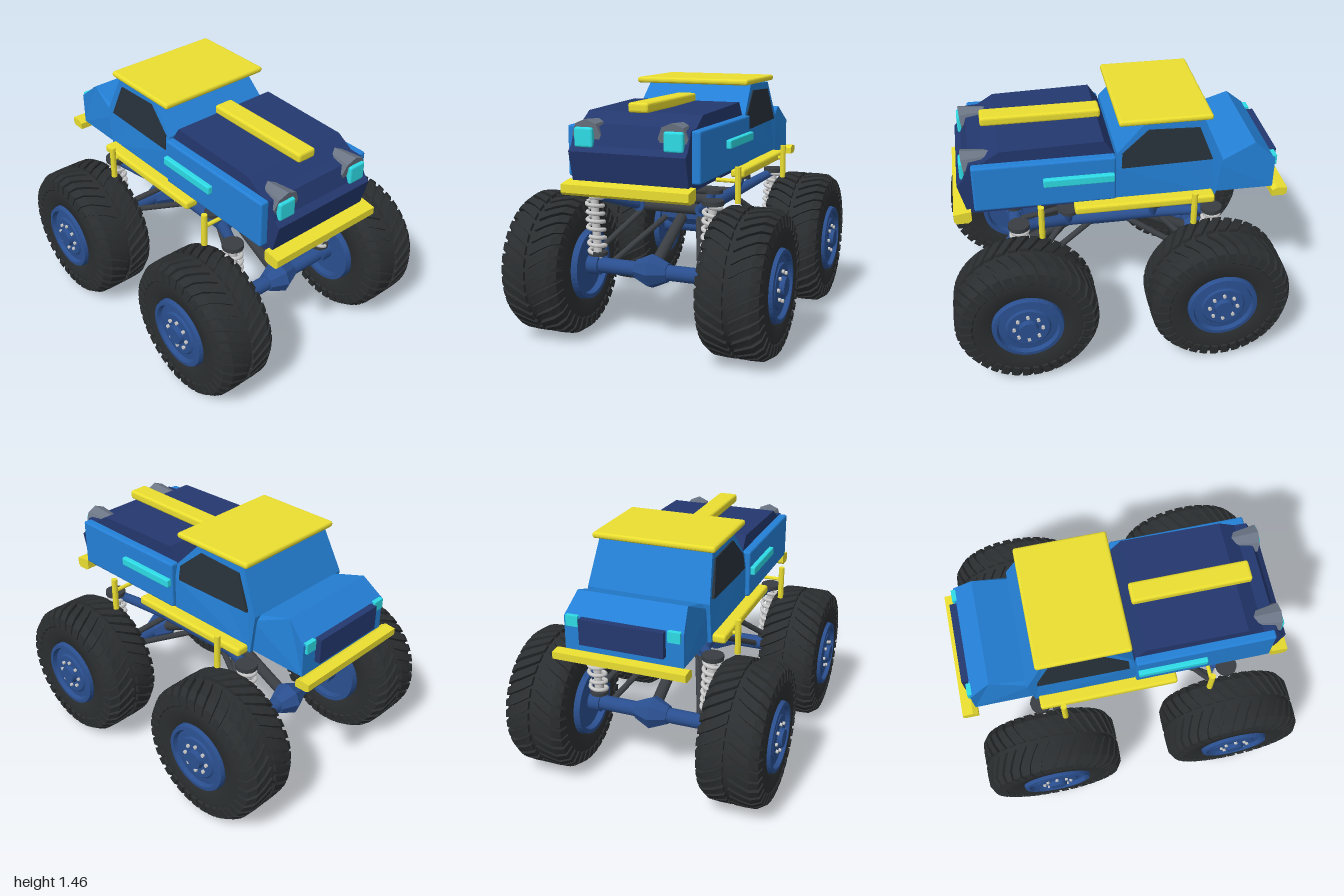
import * as THREE from 'three';
import { mergeGeometries } from 'three/addons/utils/BufferGeometryUtils.js';
import { RoundedBoxGeometry } from 'three/addons/geometries/RoundedBoxGeometry.js';

const mat = (color, flatShading = false) =>
  new THREE.MeshStandardMaterial({ color, flatShading });
const BLUE = mat(0x2480d6, true), NAVY = mat(0x24386f, true), STEEL = mat(0x2a4f8f), YELLOW = mat(0xeade30, true);
const CYAN = mat(0x2edbe6, true), RUBBER = mat(0x2b2e30), LUG = mat(0x2b2e30, true), GLASS = mat(0x27313a, true);
const POD = mat(0x6b7585, true), DARK = mat(0x3a3e42), LIGHT = mat(0xcccccc);
const V = (x, y, z) => new THREE.Vector3(x, y, z);

export function createModel() {
  const model = new THREE.Group();
  const add = (name, geo, material, parent = model) => {
    const m = new THREE.Mesh(geo, material);
    m.name = name;
    parent.add(m);
    return m;
  };
  // Box given by its limits on each axis
  const box = (name, x0, x1, y0, y1, z0, z1, material, r = 0) => {
    const s = [x1 - x0, y1 - y0, z1 - z0];
    const g = r ? new RoundedBoxGeometry(...s, 2, r) : new THREE.BoxGeometry(...s);
    return add(name, g.translate((x0 + x1) / 2, (y0 + y1) / 2, (z0 + z1) / 2), material);
  };
  // Side profile extruded across the width; half(x, y) gives the half width
  const profile = (name, pts, half, material) => {
    const g = new THREE.ExtrudeGeometry(new THREE.Shape(pts.map(p => new THREE.Vector2(...p))),
      { depth: 2, bevelEnabled: false }).translate(0, 0, -1);
    const p = g.attributes.position;
    for (let i = 0; i < p.count; i++) p.setZ(i, p.getZ(i) * half(p.getX(i), p.getY(i)));
    g.computeVertexNormals();
    return add(name, g, material);
  };
  const rod = (name, a, b, r, material, r2 = r, sides = 16) => {
    const m = add(name, new THREE.CylinderGeometry(r2, r, a.distanceTo(b), sides), material);
    m.position.copy(a).lerp(b, 0.5);
    m.quaternion.setFromUnitVectors(V(0, 1, 0), b.clone().sub(a).normalize());
    return m;
  };

  // Body shell
  profile('rearBed', [[-0.92, 0.95], [-0.55, 0.95], [-0.57, 1.14], [-0.6, 1.18], [-0.8, 1.245], [-0.92, 1.14]],
    (x, y) => (y > 1.15 ? 0.315 : 0.34), BLUE);
  const cabHalf = (x, y) => (y > 1.17 ? 0.362 - (y - 1.17) * 0.11 : 0.362);
  profile('cab', [[-0.57, 0.945], [0.02, 0.945], [0.02, 1.18], [0.01, 1.27], [-0.15, 1.44], [-0.49, 1.43],
    [-0.6, 1.18]], cabHalf, BLUE);
  profile('sideWindows', [[-0.54, 1.19], [-0.015, 1.18], [-0.02, 1.27], [-0.17, 1.4], [-0.46, 1.39]],
    (x, y) => cabHalf(x, y) + 0.006, GLASS);
  profile('hood', [[0.01, 0.955], [0.82, 0.95], [0.86, 0.965], [0.905, 1.14], [0.87, 1.17], [0.83, 1.27],
    [0.755, 1.275], [0.66, 1.335], [0.08, 1.35], [0.02, 1.26]], () => 0.338, NAVY);
  box('roofPanel', -0.53, 0, 1.44, 1.475, -0.36, 0.36, YELLOW, 0.015);
  box('hoodBar', 0.06, 0.75, 1.34, 1.395, -0.06, 0.06, YELLOW, 0.015);
  box('tailPanel', -0.955, -0.91, 1.0, 1.145, -0.24, 0.24, NAVY);

  // Bumpers
  profile('frontBumper', [[0.84, 0.92], [0.86, 0.905], [0.925, 0.905], [0.94, 0.92], [0.94, 0.965], [0.88, 0.975],
    [0.84, 0.98]], () => 0.37, YELLOW);
  profile('rearBumper', [[-1, 0.915], [-0.98, 0.905], [-0.91, 0.905], [-0.91, 0.945], [-0.94, 0.96], [-1, 0.955]],
    () => 0.38, YELLOW);

  // Parts on each side of the body
  for (const s of [1, -1]) {
    const sideBox = (name, x0, x1, y0, y1, z0, z1, m, r) =>
      box(name, x0, x1, y0, y1, Math.min(s * z0, s * z1), Math.max(s * z0, s * z1), m, r);
    sideBox('fender', 0.02, 0.82, 0.99, 1.27, 0.33, 0.387, BLUE, 0.012);
    sideBox('sideStrip', 0.03, 0.43, 1.125, 1.175, 0.38, 0.415, CYAN, 0.008);
    sideBox('sideStep', -0.55, 0.26, 0.935, 0.985, 0.35, 0.435, YELLOW, 0.015);
    sideBox('headlight', 0.845, 0.885, 1.16, 1.268, 0.205, 0.315, CYAN, 0.012);
    sideBox('tailLight', -0.935, -0.9, 1.09, 1.15, 0.255, 0.325, CYAN);
    rod('headlightPod', V(0.69, 1.255, s * 0.25), V(0.86, 1.228, s * 0.25), 0.045, POD, 0.085, 8);
    for (const x of [-0.42, 0.455]) {
      rod('sidePost', V(x, 0.83, s * 0.465), V(x, 1.035, s * 0.465), 0.018, YELLOW, 0.018, 10);
      rod('postBracket', V(x, 0.955, s * 0.33), V(x, 0.955, s * 0.465), 0.012, YELLOW, 0.012, 8);
    }
  }

  // Chassis
  profile('gearbox', [[-0.11, 0.64], [-0.08, 0.6], [0.12, 0.6], [0.15, 0.64], [0.15, 0.7], [-0.11, 0.7]],
    (x, y) => (y < 0.62 ? 0.08 : 0.13), mat(0x2a4f8f, true));
  for (const x of [-0.25, 0.02, 0.3])
    rod('crossBar', V(x, 0.74, -0.2), V(x, 0.74, 0.2), 0.032, DARK);
  for (const s of [1, -1]) {
    rod('frameRail', V(-0.3, 0.745, s * 0.2), V(0.34, 0.745, s * 0.2), 0.038, STEEL);
    for (const x of [-0.23, 0.28]) {
      rod('bodyMount', V(x, 0.75, s * 0.215), V(x, 0.85, s * 0.25), 0.025, STEEL);
      rod('mountCap', V(x, 0.84, s * 0.26), V(x, 0.862, s * 0.26), 0.05, DARK);
    }
  }

  // Tire carcass
  const tireProfile = [[0.2, -0.14], [0.215, -0.172], [0.3, -0.178], [0.365, -0.168], [0.388, -0.13], [0.394, -0.06],
    [0.394, 0.06], [0.388, 0.13], [0.365, 0.168], [0.3, 0.178], [0.215, 0.172], [0.2, 0.14]];
  const tireGeo = new THREE.LatheGeometry(tireProfile.map(p => new THREE.Vector2(...p)), 72).rotateX(Math.PI / 2);
  // Slanted tread lugs wrapping over the shoulder
  const path = [[0.014, 0.415], [0.07, 0.415], [0.13, 0.412], [0.175, 0.382], [0.184, 0.32]];
  const lugs = [], COUNT = 36;
  for (const s of [1, -1]) for (let k = 0; k < COUNT; k++) {
    const g = new THREE.BoxGeometry(1, 1, 1, 4, 1, 1), p = g.attributes.position;
    for (let i = 0; i < p.count; i++) {
      const j = Math.round((p.getX(i) + 0.5) * 4), inner = p.getY(i) < 0;
      const w = path[j][0] - (inner ? 0.0075 * j : 0), r = path[j][1] - (inner ? 0.03 : 0);
      const a = (k / COUNT) * Math.PI * 2 + 0.26 * Math.pow(path[j][0] / 0.18, 0.8) + s * p.getZ(i) * 0.115;
      p.setXYZ(i, r * Math.cos(a), r * Math.sin(a), s * w);
    }
    lugs.push(g);
  }
  const lugGeo = mergeGeometries(lugs);
  lugGeo.computeVertexNormals();
  // Rim, hub and bolts
  const rimProfile = [[0, -0.165], [0.17, -0.165], [0.175, -0.203], [0.2, -0.203], [0.206, -0.17], [0.206, 0.17],
    [0.2, 0.19], [0.178, 0.192], [0.168, 0.168], [0.13, 0.172], [0.12, 0.182], [0, 0.182]];
  const rimGeo = new THREE.LatheGeometry(rimProfile.map(p => new THREE.Vector2(...p)), 40).rotateX(Math.PI / 2);
  const hubGeo = new THREE.CylinderGeometry(0.052, 0.064, 0.06, 24).rotateX(Math.PI / 2).translate(0, 0, 0.18);
  const boltGeo = mergeGeometries(Array.from({ length: 8 }, (_, i) => {
    const a = (i / 8) * Math.PI * 2;
    return new THREE.CylinderGeometry(0.011, 0.011, 0.03, 6).rotateX(Math.PI / 2)
      .translate(0.082 * Math.cos(a), 0.082 * Math.sin(a), 0.18);
  }));

  // Coil spring
  class Helix extends THREE.Curve {
    getPoint(t, out = new THREE.Vector3()) {
      const a = t * Math.PI * 2 * 7;
      return out.set(0.048 * Math.cos(a), 0.33 * t, 0.048 * Math.sin(a));
    }
  }
  const springGeo = new THREE.TubeGeometry(new Helix(), 140, 0.012, 7);

  // Axles with wheels and suspension
  for (const [axleX, d] of [[-0.55, -1], [0.58, 1]]) {
    const y = 0.425;
    rod('axle', V(axleX, y, -0.4), V(axleX, y, 0.4), 0.045, STEEL);
    rod('differentialFront', V(axleX, y, -0.1), V(axleX, y, 0), 0.055, mat(0x2a4f8f, true), 0.1, 8);
    rod('differentialBack', V(axleX, y, 0), V(axleX, y, 0.1), 0.1, mat(0x2a4f8f, true), 0.055, 8);
    rod('driveShaft', V(0.02 + d * 0.1, 0.66, 0), V(axleX - d * 0.03, y + 0.02, 0), 0.034, DARK);
    for (const s of [1, -1]) {
      rod('axleEnd', V(axleX, y, s * 0.33), V(axleX, y, s * 0.4), 0.058, STEEL);
      rod('shockArm', V(0.02 + d * 0.27, 0.74, s * 0.195), V(axleX, 0.84, s * 0.36), 0.036, STEEL, 0.026);
      rod('upperLink', V(0.02 + d * 0.27, 0.73, s * 0.17), V(axleX - d * 0.02, 0.49, s * 0.37), 0.018, DARK);
      rod('lowerLink', V(0.02 + d * 0.1, 0.65, s * 0.1), V(axleX - d * 0.03, 0.43, s * 0.28), 0.018, DARK);
      // Shock absorber
      rod('shockShaft', V(axleX, 0.45, s * 0.345), V(axleX, 0.84, s * 0.365), 0.024, LIGHT);
      rod('shockCap', V(axleX, 0.838, s * 0.365), V(axleX, 0.865, s * 0.365), 0.062, DARK);
      rod('shockSeat', V(axleX, 0.485, s * 0.345), V(axleX, 0.505, s * 0.345), 0.055, DARK);
      const spring = add('spring', springGeo, LIGHT);
      spring.position.set(axleX, 0.505, s * 0.348);
      spring.rotation.x = s * 0.05;
      // Wheel
      const wheel = new THREE.Group(), rim = new THREE.Group();
      wheel.name = 'wheel';
      rim.name = 'rim';
      add('tire', tireGeo, RUBBER, wheel);
      add('treadLugs', lugGeo, LUG, wheel);
      add('rimDish', rimGeo, mat(0x2a4f8f, true), rim);
      add('hub', hubGeo, STEEL, rim);
      add('bolts', boltGeo, LIGHT, rim);
      if (s < 0) rim.rotation.y = Math.PI;
      wheel.add(rim);
      wheel.position.set(axleX, y, s * 0.58);
      model.add(wheel);
    }
  }
  return model;
}
